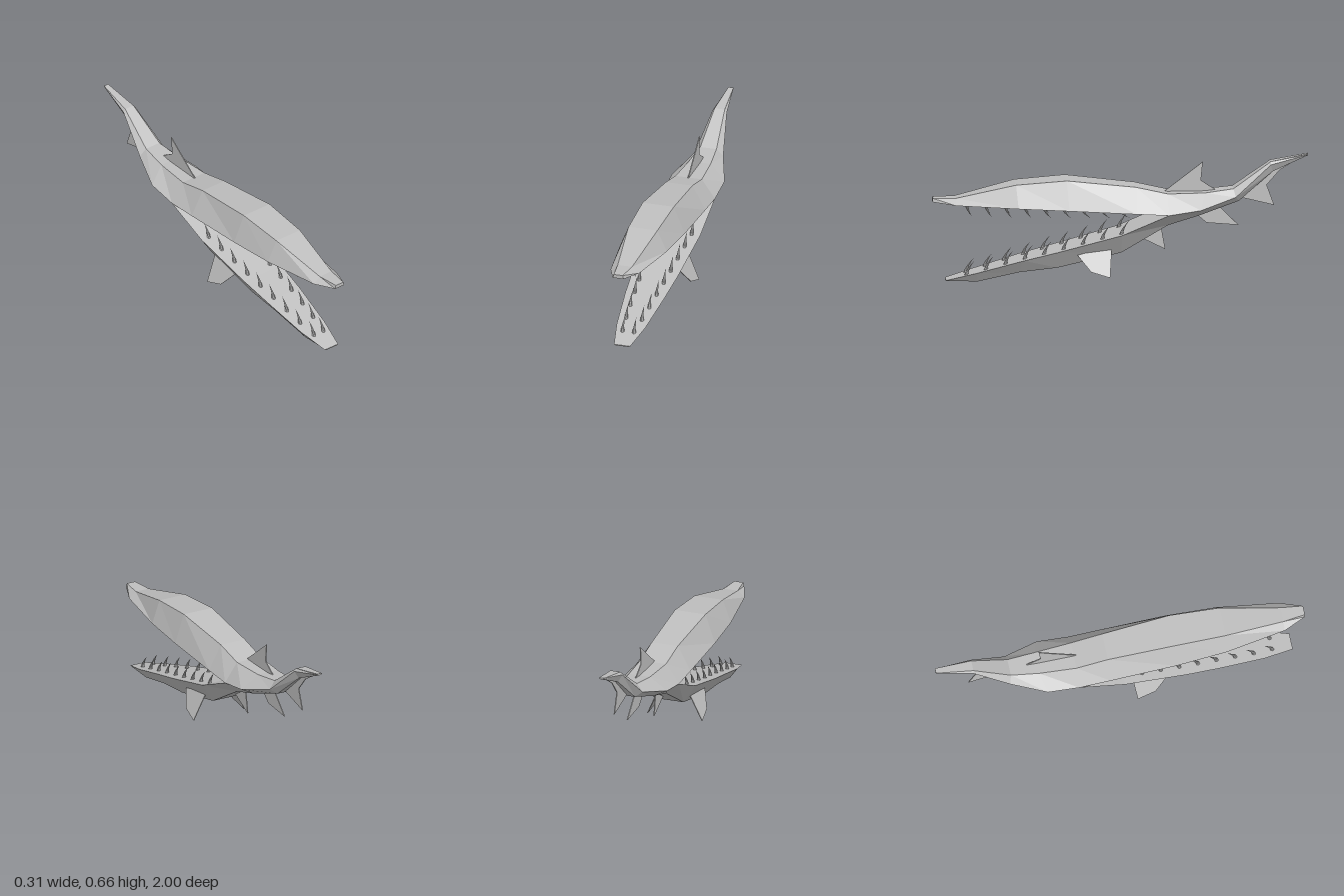
import * as THREE from 'three';

const grey = new THREE.MeshStandardMaterial({ color: 0xbfbfbf, flatShading: true });
grey.name = 'grey';

// Rows: top half width, top y, top z, bottom half width, bottom y, bottom z (front to back)
const UPPER = [
  [0.025, 0.45, 1.0, 0.03, 0.43, 1.0],
  [0.04, 0.45, 0.88, 0.08, 0.418, 0.88],
  [0.08, 0.525, 0.56, 0.13, 0.405, 0.55],
  [0.087, 0.545, 0.29, 0.145, 0.392, 0.28],
  [0.074, 0.502, -0.08, 0.147, 0.37, -0.08],
  [0.073, 0.463, -0.25, 0.147, 0.36, -0.25],
  [0.06, 0.463, -0.45, 0.147, 0.385, -0.42],
  [0.045, 0.48, -0.6, 0.08, 0.44, -0.61],
  [0.028, 0.62, -0.8, 0.04, 0.605, -0.8],
  [0.014, 0.657, -1.0, 0.014, 0.652, -1.0],
];
const LOWER = [
  [0.045, 0.007, 0.93, 0.035, 0.002, 0.93],
  [0.08, 0.05, 0.77, 0.045, 0.0, 0.76],
  [0.11, 0.12, 0.52, 0.062, 0.05, 0.54],
  [0.125, 0.165, 0.34, 0.068, 0.072, 0.34],
  [0.143, 0.255, 0.0, 0.075, 0.15, 0.0],
  [0.147, 0.36, -0.25, 0.075, 0.295, -0.25],
  [0.147, 0.385, -0.42, 0.07, 0.345, -0.42],
  [0.08, 0.44, -0.61, 0.045, 0.415, -0.63],
  [0.04, 0.605, -0.8, 0.018, 0.565, -0.81],
  [0.014, 0.652, -1.0, 0.008, 0.648, -1.0],
];

// Skin a row of four-cornered cross-sections and cap both ends
function loft(rows) {
  const pos = [], idx = [];
  for (const [tw, ty, tz, bw, by, bz] of rows) {
    pos.push(-bw, by, bz, bw, by, bz, tw, ty, tz, -tw, ty, tz);
  }
  for (let i = 0; i < rows.length - 1; i++) {
    for (let j = 0; j < 4; j++) {
      const a = i * 4 + j, b = i * 4 + (j + 1) % 4;
      idx.push(a, a + 4, b, b, a + 4, b + 4);
    }
  }
  const e = (rows.length - 1) * 4;
  idx.push(0, 1, 2, 0, 2, 3, e, e + 2, e + 1, e, e + 3, e + 2);
  const g = new THREE.BufferGeometry();
  g.setAttribute('position', new THREE.Float32BufferAttribute(pos, 3));
  g.setIndex(idx);
  g.computeVertexNormals();
  return g;
}

// Thin upright plate from [z, y] points
function finGeometry(points) {
  const shape = new THREE.Shape(points.map(([z, y]) => new THREE.Vector2(z, y)));
  const g = new THREE.ExtrudeGeometry(shape, { depth: 0.005, bevelEnabled: false });
  return g.translate(0, 0, -0.0025).rotateY(-Math.PI / 2);
}

// Cone that curves backward toward the tip
function toothGeometry(height, sweep) {
  const g = new THREE.ConeGeometry(0.011, height, 8, 4);
  g.translate(0, height / 2 - 0.004, 0);
  const p = g.attributes.position;
  for (let i = 0; i < p.count; i++) {
    const t = Math.max(0, p.getY(i) / height);
    p.setZ(i, p.getZ(i) - sweep * Math.pow(t, 1.6));
  }
  g.computeVertexNormals();
  return g;
}

// Height of a jaw edge at z, read from its rows
function edgeY(rows, z, yCol) {
  for (let i = 0; i < rows.length - 1; i++) {
    const a = rows[i], b = rows[i + 1];
    const za = a[yCol + 1], zb = b[yCol + 1];
    if (z <= za && z >= zb) return THREE.MathUtils.lerp(a[yCol], b[yCol], (za - z) / (za - zb));
  }
  return 0;
}

export function createModel() {
  const model = new THREE.Group();
  model.name = 'toothedSeaCreature';
  const add = (name, geometry, parent = model) => {
    const mesh = new THREE.Mesh(geometry, grey);
    mesh.name = name;
    parent.add(mesh);
    return mesh;
  };

  // Head, back and upper tail, then lower jaw and belly
  add('upperBody', loft(UPPER));
  add('lowerBody', loft(LOWER));

  // Fins on the centre line
  add('dorsalFin', finGeometry([[-0.23, 0.46], [-0.44, 0.62], [-0.43, 0.52], [-0.52, 0.46]]));
  add('pelvicFin', finGeometry([[-0.1, 0.22], [-0.24, 0.15], [-0.215, 0.29]]));
  add('analFin', finGeometry([[-0.39, 0.35], [-0.46, 0.29], [-0.63, 0.275], [-0.52, 0.385]]));
  add('tailFin', finGeometry([[-0.62, 0.43], [-0.7, 0.41], [-0.82, 0.38], [-0.78, 0.49],
    [-0.85, 0.57], [-0.98, 0.648], [-0.8, 0.59]]));

  // Side fins, sloping outward as they drop
  for (const side of [1, -1]) {
    const g = finGeometry([[0.235, 0.145], [0.165, 0.06], [0.065, 0.03], [0.05, 0.19]]);
    const p = g.attributes.position;
    for (let i = 0; i < p.count; i++) {
      p.setX(i, p.getX(i) + side * (0.155 - 0.45 * (p.getY(i) - 0.03)));
    }
    g.computeVertexNormals();
    add(side > 0 ? 'leftPectoralFin' : 'rightPectoralFin', g);
  }

  // Two rows of teeth in each jaw
  const upperTeeth = new THREE.Group(), lowerTeeth = new THREE.Group();
  upperTeeth.name = 'upperTeeth';
  lowerTeeth.name = 'lowerTeeth';
  model.add(upperTeeth, lowerTeeth);
  const count = 9;
  for (let i = 0; i < count; i++) {
    const t = i / (count - 1);
    const z = 0.82 - 0.82 * t;
    const x = 0.032 + 0.063 * Math.pow(t, 0.8);
    const upperShape = toothGeometry(0.07 - 0.03 * t * t, 0.03 + 0.025 * t);
    const lowerShape = toothGeometry(0.075, 0.045);
    for (const side of [1, -1]) {
      const up = add('upperTooth', upperShape, upperTeeth);
      up.position.set(side * x, edgeY(UPPER, z, 4), z);
      up.rotation.z = Math.PI;
      const low = add('lowerTooth', lowerShape, lowerTeeth);
      low.position.set(side * x, edgeY(LOWER, z, 1), z);
    }
  }
  return model;
}
